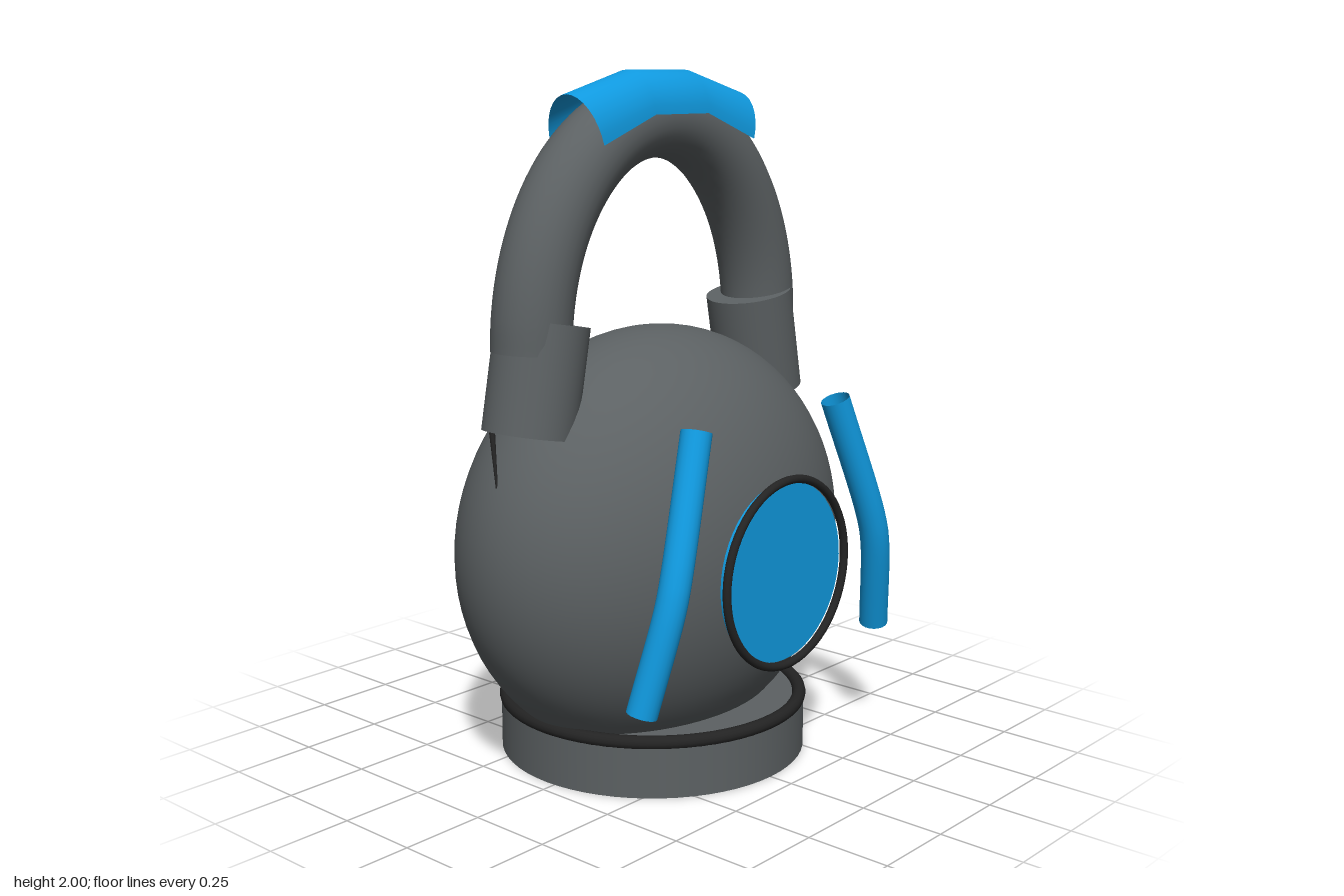
import * as THREE from 'three';

const CZ = -0.032; // depth of the main axis

function material(name, color, side = THREE.FrontSide) {
  const m = new THREE.MeshStandardMaterial({ color, side });
  m.name = name;
  return m;
}

// Open strip surface through a list of equally long point rows
function loft(rows) {
  const n = rows[0].length, index = [];
  for (let i = 0; i < rows.length - 1; i++)
    for (let j = 0; j < n - 1; j++) {
      const a = i * n + j, b = a + n;
      index.push(a, b, a + 1, b, b + 1, a + 1);
    }
  const g = new THREE.BufferGeometry();
  g.setAttribute('position', new THREE.Float32BufferAttribute(rows.flat(2), 3));
  g.setIndex(index);
  g.computeVertexNormals();
  return g;
}

export function createModel() {
  const grey = material('grey shell', 0x5c6163);
  const blue = material('blue accent', 0x109ae0, THREE.DoubleSide);
  const dark = material('dark trim', 0x232323);
  const model = new THREE.Group();

  function add(name, geometry, mat, x = 0, y = 0, z = 0) {
    const mesh = new THREE.Mesh(geometry, mat);
    mesh.name = name;
    mesh.position.set(x, y, z);
    model.add(mesh);
    return mesh;
  }

  // Egg-like body
  const body = add('body', new THREE.SphereGeometry(1, 64, 40), grey, 0, 0.64, CZ);
  body.scale.set(0.67, 0.63, 0.463);

  // Round base and its dark rim
  add('base', new THREE.CylinderGeometry(0.457, 0.457, 0.16, 64), grey, 0, 0.08, CZ);
  const rim = add('baseRim', new THREE.TorusGeometry(0.443, 0.02, 12, 72), dark, 0, 0.16, CZ);
  rim.rotation.x = Math.PI / 2;

  // Front dial and ring
  const dial = add('dial', new THREE.CylinderGeometry(0.257, 0.257, 0.02, 48), blue, 0, 0.62, 0.455);
  dial.rotation.x = Math.PI / 2;
  add('dialRing', new THREE.TorusGeometry(0.267, 0.012, 12, 64), dark, 0, 0.62, 0.476);

  // Arched handle
  const arch = [];
  for (let i = 0; i <= 24; i++) {
    const a = (i / 24) * Math.PI;
    arch.push(new THREE.Vector3(0.49 * Math.cos(a), 1.25 + 0.615 * Math.sin(a), CZ));
  }
  add('handle', new THREE.TubeGeometry(new THREE.CatmullRomCurve3(arch), 64, 0.112, 28), grey);

  // Half-round grip cover: crown point and downward offset for each section
  const sections = [
    [-0.36, 1.935, 0.04, -0.135], [-0.12, 2, 0.008, -0.122],
    [0.12, 2, -0.008, -0.122], [0.36, 1.935, -0.04, -0.135],
  ];
  const grip = sections.map(([x, y, dx, dy]) => {
    const row = [];
    for (let j = 0; j <= 16; j++) {
      const a = (j / 16) * Math.PI, drop = 1 - Math.sin(a);
      row.push([x + dx * drop, y + dy * drop, -0.018 + 0.102 * Math.cos(a)]);
    }
    return row;
  });
  add('grip', loft(grip), blue);

  for (const [side, s] of [['left', 1], ['right', -1]]) {
    // Tilted handle socket
    const socket = add(side + 'Socket', new THREE.CylinderGeometry(0.131, 0.131, 0.31, 40), grey, s * 0.474, 1.175, CZ);
    socket.rotation.z = s * 0.19;

    // Thin pin below the socket
    const top = new THREE.Vector3(s * 0.575, 1.06, -0.105);
    const tip = new THREE.Vector3(s * 0.612, 0.885, -0.047);
    const pin = add(side + 'Pin', new THREE.CylinderGeometry(0.003, 0.01, top.distanceTo(tip), 8), dark);
    pin.position.lerpVectors(top, tip, 0.5);
    pin.quaternion.setFromUnitVectors(new THREE.Vector3(0, 1, 0), tip.clone().sub(top).normalize());

    // Bent hollow rod beside the dial
    const path = new THREE.CatmullRomCurve3([
      [0.31, 1.062, 0.403], [0.44, 0.7, 0.447], [0.466, 0.61, 0.447], [0.53, 0.335, 0.405],
    ].map(([x, y, z]) => new THREE.Vector3(s * x, y, z)));
    add(side + 'Rod', new THREE.TubeGeometry(path, 24, 0.043, 20), blue);
  }

  return model;
}
